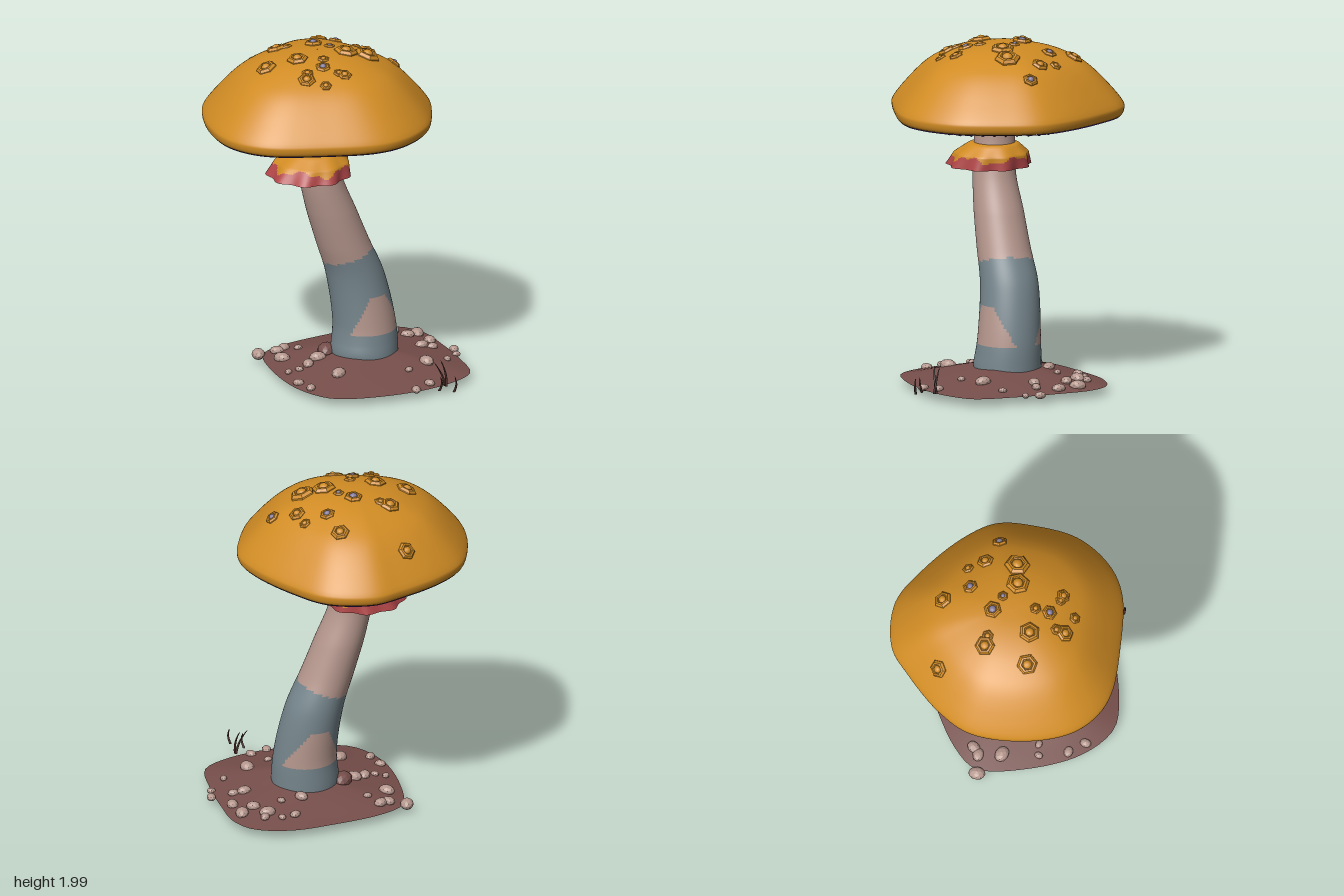
import * as THREE from 'three';
import { toCreasedNormals } from 'three/addons/utils/BufferGeometryUtils.js';

const TAU = Math.PI * 2;

function mat(name, color, side = THREE.FrontSide) {
  const m = new THREE.MeshStandardMaterial({ color, side });
  m.name = name;
  return m;
}

// Closed loops of vertices, rows running from the top outwards and down.
// pick(angle, rowFraction, point) gives the material index of each face.
function loops(name, cols, rows, point, materials, pick = () => 0) {
  const pos = [], faces = materials.map(() => []);
  const at = (i, j) => j * cols + (i % cols);
  for (let j = 0; j <= rows; j++)
    for (let i = 0; i < cols; i++) pos.push(...point((i / cols) * TAU, j / rows));
  for (let j = 0; j < rows; j++)
    for (let i = 0; i < cols; i++) {
      const a = ((i + 0.5) / cols) * TAU, t = (j + 0.5) / rows;
      faces[pick(a, t, point(a, t))].push(
        at(i, j), at(i + 1, j), at(i, j + 1), at(i + 1, j), at(i + 1, j + 1), at(i, j + 1));
    }
  const g = new THREE.BufferGeometry();
  g.setAttribute('position', new THREE.Float32BufferAttribute(pos, 3));
  g.setIndex(faces.flat());
  let start = 0;
  faces.forEach((f, k) => { g.addGroup(start, f.length, k); start += f.length; });
  g.computeVertexNormals();
  const mesh = new THREE.Mesh(g, materials);
  mesh.name = name;
  return mesh;
}

// Radius by angle of a smooth closed outline around a centre
function outline(points, cx, cz) {
  const curve = new THREE.CatmullRomCurve3(points.map(([x, z]) => new THREE.Vector3(x - cx, 0, z - cz)), true);
  const samples = curve.getPoints(1500).map(p => [Math.atan2(p.z, p.x), p.length()]);
  const table = Array.from({ length: 180 }, (_, k) => {
    let best = 9, r = 0;
    for (const [a, len] of samples) {
      const d = Math.abs(Math.atan2(Math.sin(a - k * TAU / 180), Math.cos(a - k * TAU / 180)));
      if (d < best) { best = d; r = len; }
    }
    return r;
  });
  return a => {
    const f = (((a / TAU) % 1 + 1) % 1) * 180, k = Math.floor(f);
    return THREE.MathUtils.lerp(table[k % 180], table[(k + 1) % 180], f - k);
  };
}

// Linear lookup in a list of [key, value] pairs
function lookup(list, x) {
  for (let k = 1; k < list.length; k++)
    if (x <= list[k][0]) {
      const [a, b] = [list[k - 1], list[k]];
      return THREE.MathUtils.mapLinear(x, a[0], b[0], a[1], b[1]);
    }
  return list[list.length - 1][1];
}

export function createModel() {
  const model = new THREE.Group();
  model.name = 'mushroom';
  const orange = mat('capOrange', 0xd18c24, THREE.DoubleSide);
  const pink = mat('stemPink', 0xb4968c);
  const blue = mat('stemBlueGrey', 0x75858c);
  const red = mat('skirtRed', 0xb04547, THREE.DoubleSide);
  const soil = mat('soilBrown', 0x764e4a);
  const purple = mat('gillPurple', 0x2d1a52, THREE.DoubleSide);
  const lavender = mat('gillLavender', 0x857c9c, THREE.DoubleSide);
  const grassDark = mat('grassBrown', 0x4a2e2a);

  // Cap
  const CX = -0.12, CZ = 0;
  const capR = outline([[-0.78, 0.075], [-0.746, -0.146], [-0.62, -0.417], [-0.517, -0.57], [-0.267, -0.675],
    [-0.017, -0.625], [0.275, -0.5], [0.43, -0.375], [0.517, -0.167], [0.562, 0.083], [0.5, 0.312],
    [0.38, 0.458], [0.11, 0.59], [-0.246, 0.688], [-0.475, 0.617], [-0.66, 0.404]], CX, CZ);
  const capPoint = (a, s, y) => [CX + Math.cos(a) * capR(a) * s, y, CZ + Math.sin(a) * capR(a) * s];
  const domeProfile = [[0, 1.97], [0.15, 1.966], [0.3, 1.95], [0.45, 1.92], [0.6, 1.873], [0.7, 1.828],
    [0.8, 1.765], [0.9, 1.69], [0.96, 1.64], [0.99, 1.61], [1, 1.59], [0.992, 1.56], [0.97, 1.543], [0.93, 1.54]];
  const domeCurve = new THREE.SplineCurve(domeProfile.map(([s, y]) => new THREE.Vector2(s, y)));
  model.add(loops('cap', 120, 52, (a, t) => {
    const p = domeCurve.getPoint(t);
    return capPoint(a, Math.max(p.x, 0.002), p.y);
  }, [orange]));

  // Gills: a rim band, then radial folds rising to the stem
  model.add(loops('gillRim', 120, 2, (a, t) => capPoint(a, 0.965 - 0.075 * t, 1.537 - 0.006 * t), [purple]));
  const gillCount = 52;
  const gillBase = [[0.16, 1.67], [0.3, 1.62], [0.5, 1.575], [0.75, 1.545], [0.92, 1.537]];
  model.add(loops('gills', gillCount * 6, 14, (a, t) => {
    const s = 0.92 - 0.76 * t;
    const fold = Math.abs(((a / TAU) * gillCount) % 1 - 0.5) * 2;
    const depth = 0.034 * Math.min(1, t * 7) * (1 - 0.5 * t);
    return capPoint(a, s, lookup(gillBase, s) - depth * (1 - fold));
  }, [purple, lavender, pink], (a, t) => {
    const f = (a / TAU) * gillCount, fold = Math.abs((f % 1) - 0.5) * 2;
    if (fold > 0.6 || t < 0.08) return 0;
    return (Math.floor(f) * 7 + Math.floor(t * 14) * 5) % 23 === 0 && fold < 0.3 ? 2 : 1;
  }));

  // Warts on the cap: [x, z, radius, pale knob]
  const domeY = (x, z) => {
    const a = Math.atan2(z - CZ, x - CX);
    return lookup(domeProfile.slice(0, 11), Math.hypot(x - CX, z - CZ) / capR(a));
  };
  const wartShape = toCreasedNormals(new THREE.LatheGeometry(
    [[1, -0.3], [0.98, 0.08], [0.78, 0.3], [0.58, 0.32], [0.5, 0.2], [0, 0.2]].map(p => new THREE.Vector2(...p)), 6), 0.5);
  const knobShape = new THREE.SphereGeometry(0.42, 10, 6);
  [[-0.22, -0.39, 0.055, 0], [-0.09, -0.28, 0.045, 1], [0.02, -0.35, 0.035, 0], [0.1, -0.28, 0.05, 0],
    [0.26, -0.27, 0.045, 1], [-0.57, -0.24, 0.055, 0], [0.15, -0.1, 0.075, 0], [0.04, -0.04, 0.07, 0],
    [-0.07, -0.08, 0.032, 1], [-0.17, -0.095, 0.053, 1], [-0.375, -0.04, 0.06, 0], [-0.32, -0.05, 0.036, 0],
    [-0.195, 0.155, 0.062, 0], [-0.05, 0.12, 0.035, 0], [-0.03, 0.2, 0.045, 1], [-0.36, 0.225, 0.062, 0],
    [0.105, 0.22, 0.042, 0], [0.07, 0.22, 0.032, 0], [-0.1, 0.28, 0.036, 0], [-0.09, 0.33, 0.053, 0],
    [0.025, 0.335, 0.035, 0]].forEach(([x, z, r, pale], k) => {
    const e = 0.03, wart = new THREE.Group();
    wart.name = 'wart';
    const normal = new THREE.Vector3(domeY(x - e, z) - domeY(x + e, z), 2 * e, domeY(x, z - e) - domeY(x, z + e)).normalize();
    wart.position.set(x, domeY(x, z), z);
    wart.quaternion.setFromUnitVectors(new THREE.Vector3(0, 1, 0), normal).multiply(
      new THREE.Quaternion().setFromAxisAngle(new THREE.Vector3(0, 1, 0), k * 1.3));
    wart.scale.setScalar(r);
    const ring = new THREE.Mesh(wartShape, orange);
    ring.name = 'wartRing';
    const knob = new THREE.Mesh(knobShape, pale ? lavender : orange);
    knob.name = 'wartKnob';
    knob.position.y = 0.18;
    knob.scale.y = 0.75;
    wart.add(ring, knob);
    model.add(wart);
  });

  // Stem: leaning tube with a tilted foot, [y, x, z, radius]
  const stem = [[1.7, -0.12, 0.055, 0.115], [1.4, -0.12, 0.055, 0.118], [1.2, -0.085, 0.045, 0.125],
    [1, -0.035, 0.005, 0.144], [0.8, 0.02, -0.04, 0.155], [0.6, 0.077, -0.09, 0.168],
    [0.3, 0.13, -0.105, 0.182], [0.12, 0.135, -0.095, 0.195], [0.047, 0.14, -0.095, 0.19]];
  const stemLine = new THREE.CatmullRomCurve3(stem.map(([y, x, z]) => new THREE.Vector3(x, y, z)));
  const stemRadius = new THREE.CatmullRomCurve3(stem.map(s => new THREE.Vector3(s[3], 0, 0)));
  const stemPoint = (a, t, scale = 1) => {
    const c = stemLine.getPoint(t), r = stemRadius.getPoint(t).x * scale;
    const tilt = 0.25 * THREE.MathUtils.clamp((0.2 - c.y) / 0.15, 0, 1);
    return [c.x + Math.cos(a) * r, c.y + tilt * Math.sin(a) * r, c.z + Math.sin(a) * r];
  };
  const inPatch = (a, y, mid) => {
    const d = Math.abs(Math.atan2(Math.sin(a - mid), Math.cos(a - mid)));
    return y > 0.26 && y < 0.485 && d < THREE.MathUtils.mapLinear(y, 0.26, 0.485, 1.15, 0.32);
  };
  model.add(loops('stem', 72, 110, stemPoint, [pink, blue], (a, t, [, y]) =>
    y > 0.72 + 0.04 * Math.cos(a) - 0.02 * Math.sin(a) || inPatch(a, y, 0.62) || inPatch(a, y, 3.93) ? 0 : 1));
  model.add(loops('stemFoot', 72, 2, (a, t) => stemPoint(a, 1, 1 - 0.998 * t), [blue]));

  // Skirt around the stem
  const skirtR = [[0, 0.11], [0.12, 0.145], [0.5, 0.212], [1, 0.238]];
  const skirtY = [[0, 1.385], [0.12, 1.378], [0.5, 1.32], [1, 1.245]];
  model.add(loops('skirt', 108, 20, (a, t) => {
    const r = lookup(skirtR, t) * (1 + 0.05 * t * Math.cos(9 * a));
    return [-0.115 - 0.03 * t + Math.cos(a) * r, lookup(skirtY, t), 0.055 + 0.04 * t + Math.sin(a) * r];
  }, [orange, red], (a, t, [, y]) => (y > 1.3 + 0.016 * Math.sin(5 * a) + 0.008 * Math.sin(13 * a) ? 0 : 1)));

  // Soil mound
  const GX = 0.155, GZ = -0.08;
  const soilR = outline([[-0.02, -0.625], [0.19, -0.7], [0.34, -0.646], [0.48, -0.5], [0.65, -0.29], [0.77, -0.08],
    [0.725, 0.08], [0.567, 0.29], [0.3, 0.48], [0.12, 0.54], [-0.1, 0.45], [-0.33, 0.2], [-0.46, -0.06],
    [-0.4, -0.22], [-0.2, -0.46]], GX, GZ);
  const soilPoint = (a, s, y) => [GX + Math.cos(a) * soilR(a) * s, y, GZ + Math.sin(a) * soilR(a) * s];
  const soilY = (a, s) => 0.045 + 0.12 * (1 - s) + 0.01 * Math.sin(3 * a + 5 * s) * s * (1 - s);
  model.add(loops('soil', 72, 12, (a, t) => soilPoint(a, 0.002 + 0.998 * t, soilY(a, t)), [soil]));
  model.add(loops('soilUnderside', 72, 2, (a, t) => soilPoint(a, 1 - 0.998 * t, 0.045), [soil]));

  // Pebbles, placed along the two diagonals of the mound
  const pebbleShape = toCreasedNormals(new THREE.IcosahedronGeometry(1, 1), 0.3);
  const addStone = (u, v, r, material, name, k) => {
    const dx = (u + v) * Math.SQRT1_2, dz = (v - u) * Math.SQRT1_2, a = Math.atan2(dz, dx);
    const stone = new THREE.Mesh(pebbleShape, material);
    stone.name = name;
    stone.position.set(GX + dx, soilY(a, Math.min(1, Math.hypot(dx, dz) / soilR(a))) + 0.006, GZ + dz);
    stone.scale.set(r * 1.15, r * 0.75, r * 0.9);
    stone.rotation.y = k * 1.7;
    model.add(stone);
  };
  [[0.22, -0.23], [0.36, -0.34], [0.38, -0.2], [0.46, -0.23], [0.51, 0.14], [0.54, 0.06], [0.36, 0], [0.24, 0.27],
    [0.09, 0.33], [0.13, 0.5], [-0.33, -0.39], [-0.42, -0.25], [-0.49, -0.05], [-0.52, 0.12], [-0.36, -0.05],
    [-0.28, -0.08], [0.4, 0.23], [0.42, 0.02], [0.47, -0.1], [0.33, -0.3], [0.27, -0.38], [0.19, -0.38],
    [0.1, -0.24], [-0.3, 0.2], [-0.43, -0.03], [-0.5, 0.23], [-0.38, -0.38], [-0.48, -0.42], [-0.28, -0.31],
    [0.02, 0.54]].forEach(([u, v], k) => addStone(u, v, 0.022 + 0.007 * ((k * 5) % 4), pink, 'pebble', k));
  addStone(-0.2, -0.12, 0.06, soil, 'soilLump', 1);

  // Grass blades: tapered and bent, [base, tip]
  [[[0.69, 0.05, 0.17], [0.63, 0.2, 0.2]], [[0.7, 0.05, 0.18], [0.66, 0.2, 0.16]],
    [[0.68, 0.05, 0.26], [0.69, 0.14, 0.27]], [[0.77, 0.055, 0.27], [0.775, 0.15, 0.27]]].forEach(([b, p]) => {
    const base = new THREE.Vector3(...b), tip = new THREE.Vector3(...p);
    model.add(loops('grassBlade', 6, 8, (a, t) => {
      const c = tip.clone().lerp(base, t), r = 0.0005 + 0.0075 * Math.sqrt(t);
      c.x += 0.012 * Math.sin(t * Math.PI);
      return [c.x + Math.cos(a) * r, c.y, c.z + Math.sin(a) * r];
    }, [grassDark]));
  });
  return model;
}
